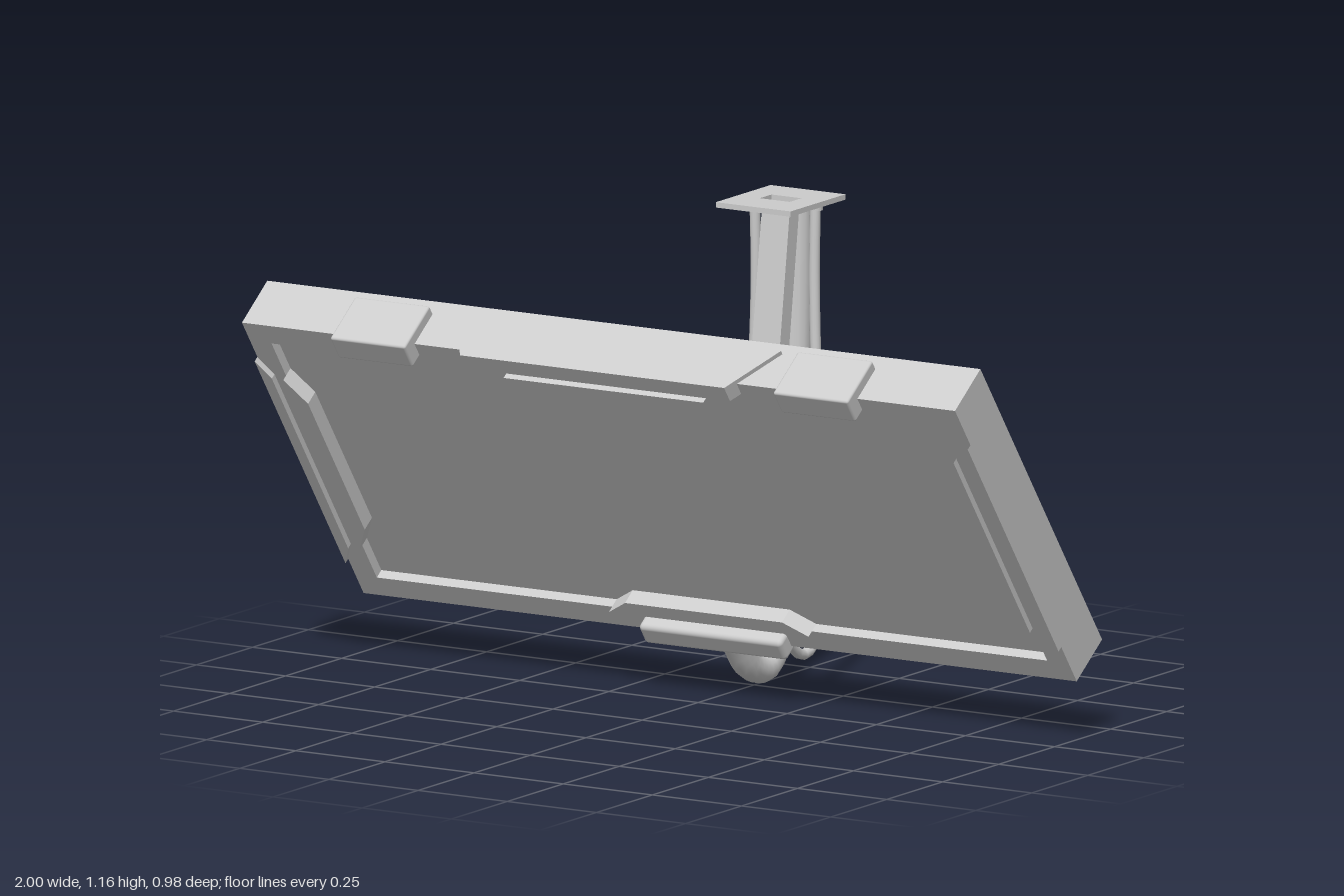
import * as THREE from 'three';
import { RoundedBoxGeometry } from 'three/addons/geometries/RoundedBoxGeometry.js';

const material = new THREE.MeshStandardMaterial({ color: 0xcccccc });

function add(parent, name, geometry, x = 0, y = 0, z = 0) {
  const mesh = new THREE.Mesh(geometry, material);
  mesh.name = name;
  mesh.position.set(x, y, z);
  parent.add(mesh);
  return mesh;
}

const box = (w, h, d) => new THREE.BoxGeometry(w, h, d);

function rectanglePoints(w, h) {
  return [[-w, -h], [w, -h], [w, h], [-w, h]].map(([x, y]) => new THREE.Vector2(x / 2, y / 2));
}

// Rectangular ring, extruded along z
function ring(w, h, holeW, holeH, depth) {
  const shape = new THREE.Shape(rectanglePoints(w, h));
  shape.holes.push(new THREE.Path(rectanglePoints(holeW, holeH)));
  return new THREE.ExtrudeGeometry(shape, { depth, bevelEnabled: false });
}

// Trapezoid with its long side on y = 0, extruded along z
function trapezoid(longHalf, shortHalf, height, depth) {
  const shape = new THREE.Shape([
    new THREE.Vector2(-longHalf, 0), new THREE.Vector2(longHalf, 0),
    new THREE.Vector2(shortHalf, height), new THREE.Vector2(-shortHalf, height),
  ]);
  return new THREE.ExtrudeGeometry(shape, { depth, bevelEnabled: false });
}

function cable(points, radius, segments) {
  const curve = new THREE.CatmullRomCurve3(points.map((p) => new THREE.Vector3(...p)));
  return new THREE.TubeGeometry(curve, segments, radius, 14);
}

function createPanel() {
  const panel = new THREE.Group();
  panel.name = 'tiltedPanel';
  panel.position.set(0, 0.5575, 0.1165);
  panel.rotation.x = THREE.MathUtils.degToRad(36);

  // Housing with a recessed screen
  add(panel, 'housing', box(2, 0.924, 0.115), 0, 0, -0.0125);
  add(panel, 'screenFrame', ring(2, 0.924, 1.88, 0.8, 0.025), 0, 0, 0.045);

  // Trim on the side edges and inside the recess
  for (const side of [-1, 1]) {
    const turn = side * Math.PI / 2;
    add(panel, 'outerSideTrim', trapezoid(0.345, 0.29, 0.028, 0.02), side, 0, 0.065).rotation.z = turn;
    add(panel, 'innerSideTrim', trapezoid(0.29, 0.215, 0.042, 0.04), side * 0.94, 0, 0.045).rotation.z = turn;
    add(panel, 'topClip', new RoundedBoxGeometry(0.21, 0.068, 0.14, 2, 0.006), side * 0.621, 0.454, 0.037);
  }
  add(panel, 'innerTopTrim', trapezoid(0.28, 0.22, 0.04, 0.043), 0, 0.4, 0.045).rotation.z = Math.PI;
  add(panel, 'innerBottomTrim', trapezoid(0.28, 0.22, 0.04, 0.043), 0, -0.4, 0.045);

  // Tapered cap over the top edge
  add(panel, 'topCap', trapezoid(0.46, 0.37, 0.137, 0.045), 0, 0.473, -0.04).rotation.x = Math.PI / 2;

  // Cable holder under the bottom edge
  add(panel, 'cableHolder', new RoundedBoxGeometry(0.4, 0.06, 0.2, 3, 0.012), 0, -0.45, 0.005);

  // Arm standing square on the back
  add(panel, 'armMount', box(0.094, 0.075, 0.024), 0, -0.196, -0.08);
  add(panel, 'lowerArm', new RoundedBoxGeometry(0.076, 0.052, 0.25, 2, 0.012), 0, -0.196, -0.205);
  add(panel, 'elbow', box(0.09, 0.07, 0.055), 0, -0.196, -0.342);
  return panel;
}

export function createModel() {
  const model = new THREE.Group();
  model.name = 'ceilingMountedDisplay';
  model.add(createPanel());

  // Ceiling plate with an opening above the hollow pole
  const plate = new THREE.Group();
  plate.name = 'ceilingPlate';
  plate.position.set(0, 1.16, -0.3685);
  plate.rotation.x = Math.PI / 2;
  add(plate, 'plate', ring(0.21, 0.245, 0.084, 0.052, 0.013));
  model.add(plate);

  // Pole leaning from the plate to the elbow
  const top = new THREE.Vector3(0, 1.15, -0.37);
  const bottom = new THREE.Vector3(0, 0.6, -0.295);
  const pole = add(model, 'upperPole', ring(0.078, 0.042, 0.066, 0.03, top.distanceTo(bottom)));
  pole.position.copy(top);
  pole.lookAt(bottom);

  // Thick central cable
  add(model, 'mainCable', cable([
    [0, 1.148, -0.445], [0, 0.85, -0.441], [0, 0.55, -0.426], [0, 0.3, -0.405],
    [0, 0.16, -0.378], [0, 0.07, -0.34], [0, 0.036, -0.295], [0, 0.055, -0.225],
    [0, 0.115, -0.172], [0, 0.165, -0.135],
  ], 0.035, 60));
  add(model, 'mainCableCollar', new THREE.CylinderGeometry(0.04, 0.04, 0.02, 18), 0, 1.138, -0.445);

  // Thin cables, one each side
  add(model, 'leftThinCable', cable([
    [0.07, 1.148, -0.412], [0.07, 0.95, -0.408], [0.085, 0.65, -0.4], [0.115, 0.4, -0.388],
    [0.125, 0.2, -0.358], [0.125, 0.1, -0.315], [0.125, 0.085, -0.265],
    [0.125, 0.13, -0.2], [0.125, 0.175, -0.155],
  ], 0.013, 50));
  add(model, 'rightThinCable', cable([
    [-0.07, 1.148, -0.365], [-0.07, 0.95, -0.37], [-0.085, 0.65, -0.37], [-0.115, 0.42, -0.365],
    [-0.125, 0.27, -0.347], [-0.125, 0.175, -0.305], [-0.125, 0.11, -0.235],
    [-0.125, 0.125, -0.19], [-0.125, 0.175, -0.155],
  ], 0.013, 50));
  for (const [x, z] of [[0.07, -0.412], [-0.07, -0.365]]) {
    add(model, 'thinCableCollar', new THREE.CylinderGeometry(0.018, 0.018, 0.016, 14), x, 1.14, z);
  }
  return model;
}
